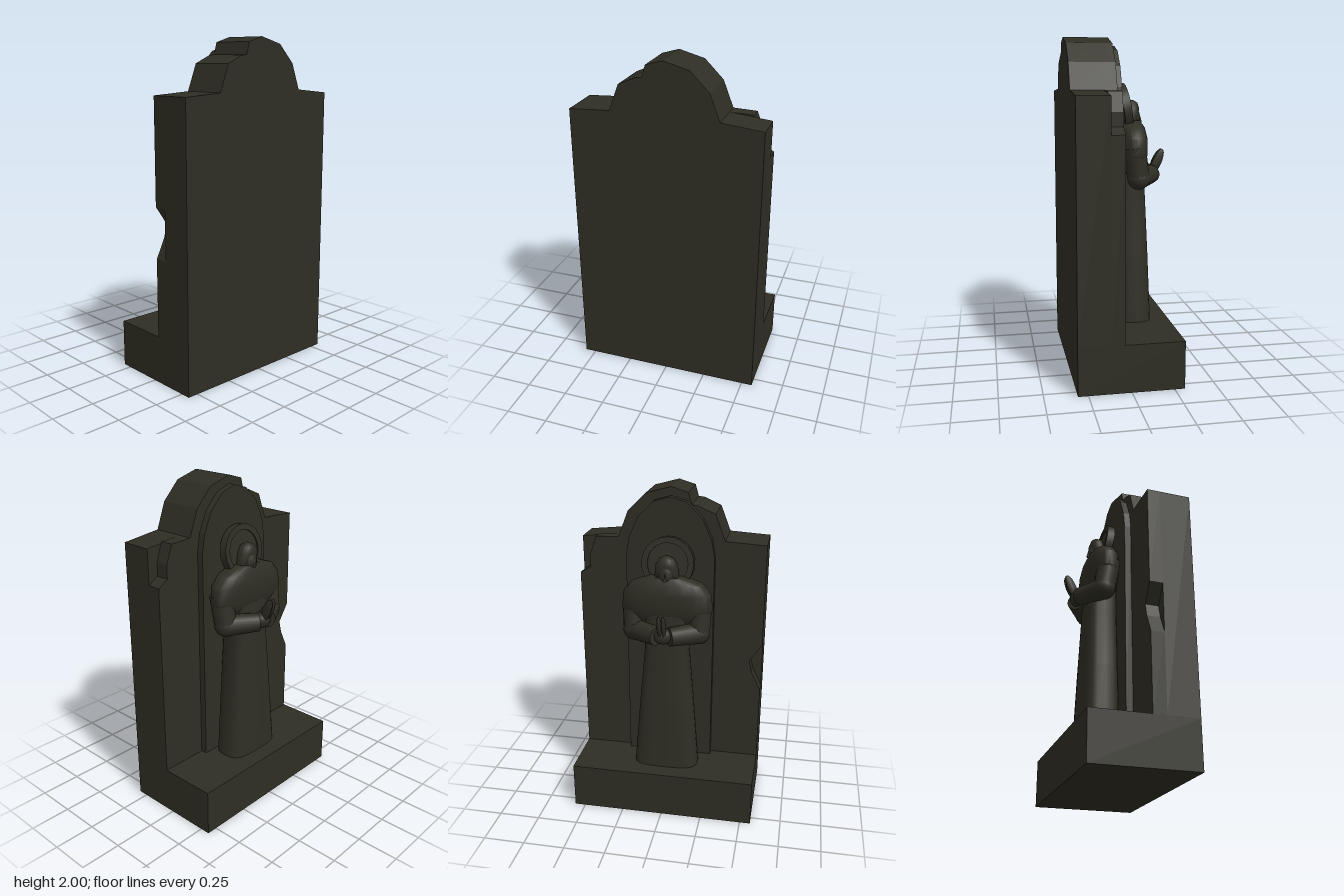
import * as THREE from 'three';
import { toCreasedNormals } from 'three/addons/utils/BufferGeometryUtils.js';

const stone = new THREE.MeshStandardMaterial({ color: 0x2f2e24 });
stone.name = 'dark stone';

function part(name, geometry, parent) {
  const mesh = new THREE.Mesh(geometry, stone);
  mesh.name = name;
  parent.add(mesh);
  return mesh;
}

// Upright plate: outline in x, y, running from z0 to z1
function plate(points, z0, z1) {
  const shape = new THREE.Shape(points.map(([x, y]) => new THREE.Vector2(x, y)));
  return new THREE.ExtrudeGeometry(shape, { depth: z1 - z0, bevelEnabled: false }).translate(0, 0, z0);
}

// Rounded-box rings [y, half width, back z, front z] joined from bottom to top
function loft(rings, power = 0.6, sides = 24) {
  const pos = [], index = [];
  const soft = v => Math.sign(v) * Math.abs(v) ** power;
  for (const [y, w, back, front] of rings) {
    for (let i = 0; i < sides; i++) {
      const t = (i / sides) * Math.PI * 2;
      pos.push(w * soft(Math.cos(t)), y, (back + front) / 2 + ((back - front) / 2) * soft(Math.sin(t)));
    }
  }
  const last = (rings.length - 1) * sides;
  for (let r = 0; r < last; r += sides) {
    for (let i = 0; i < sides; i++) {
      const a = r + i, b = r + (i + 1) % sides;
      index.push(a, a + sides, b, b, a + sides, b + sides);
    }
  }
  for (let i = 1; i < sides - 1; i++) {
    index.push(0, i, i + 1, last, last + i + 1, last + i);
  }
  const g = new THREE.BufferGeometry();
  g.setAttribute('position', new THREE.Float32BufferAttribute(pos, 3));
  g.setIndex(index);
  return toCreasedNormals(g, 0.7);
}

// Tapered limb between two points
function limb(a, b, r0, r1) {
  const from = new THREE.Vector3(...a), to = new THREE.Vector3(...b);
  const dir = to.clone().sub(from);
  const g = new THREE.CylinderGeometry(r1, r0, dir.length(), 14);
  g.applyQuaternion(new THREE.Quaternion().setFromUnitVectors(new THREE.Vector3(0, 1, 0), dir.normalize()));
  const mid = from.add(to).multiplyScalar(0.5);
  return g.translate(mid.x, mid.y, mid.z);
}

function ball(x, y, z, sx, sy, sz) {
  return new THREE.SphereGeometry(1, 16, 12).scale(sx, sy, sz).translate(x, y, z);
}

export function createModel() {
  const model = new THREE.Group();
  model.name = 'memorial';

  // Plinth and weathered slab; the face towards the statue has broken edges
  part('plinth', new THREE.BoxGeometry(1.13, 0.285, 0.62).translate(0, 0.1425, 0), model);
  const crown = [[0.32, 1.695], [0.26, 1.85], [0.15, 1.96], [0, 2], [-0.1, 1.97], [-0.12, 1.9],
    [-0.16, 1.895], [-0.26, 1.85], [-0.32, 1.695], [-0.565, 1.68]];
  part('slab', plate([[-0.565, 0.28], [0.565, 0.28], [0.565, 1.67], ...crown], 0.12, 0.31), model);
  part('brokenFace', plate([[-0.565, 0.28], [0.565, 0.28], [0.565, 1.46], [0.5, 1.5], [0.5, 1.58],
    [0.46, 1.69], ...crown, [-0.565, 1.06], [-0.49, 0.95], [-0.51, 0.87], [-0.565, 0.755]], 0.04, 0.12), model);

  // Arched backing panel
  part('archPanel', plate([[-0.265, 0.28], [0.265, 0.28], [0.265, 1.6], [0.245, 1.71], [0.19, 1.83], [0.1, 1.92],
    [0, 1.95], [-0.1, 1.92], [-0.19, 1.83], [-0.245, 1.71], [-0.265, 1.6]], 0, 0.04), model);

  // Robed figure, facing -z
  const figure = new THREE.Group();
  figure.name = 'statue';
  model.add(figure);
  part('robe', loft([[0.28, 0.2, 0.01, -0.21], [0.7, 0.165, 0.01, -0.195], [1.08, 0.13, 0.01, -0.18],
    [1.3, 0.14, 0.01, -0.17]]), figure);
  part('cape', loft([[1.2, 0.15, 0, -0.14], [1.26, 0.245, 0, -0.16], [1.31, 0.272, 0, -0.18],
    [1.41, 0.262, 0, -0.18], [1.47, 0.21, -0.01, -0.17], [1.51, 0.1, -0.03, -0.15]], 0.75), figure);

  // Tilted halo with a raised rim
  const halo = new THREE.Group();
  halo.name = 'halo';
  halo.position.set(0, 1.575, -0.055);
  halo.rotation.x = 0.16;
  figure.add(halo);
  part('haloDisc', new THREE.CylinderGeometry(0.145, 0.145, 0.03, 28).rotateX(Math.PI / 2), halo);
  const rim = [[0.12, -0.024], [0.155, -0.024], [0.155, 0.024], [0.12, 0.024], [0.12, -0.024]];
  part('haloRim', toCreasedNormals(new THREE.LatheGeometry(rim.map(p => new THREE.Vector2(...p)), 28)
    .rotateX(Math.PI / 2), 0.7), halo);

  // Hooded head with nose and beard
  part('neck', limb([0, 1.42, -0.09], [0, 1.52, -0.1], 0.06, 0.05), figure);
  part('hood', loft([[1.43, 0.075, -0.04, -0.125], [1.52, 0.072, -0.05, -0.14], [1.58, 0.065, -0.055, -0.152],
    [1.615, 0.045, -0.065, -0.14], [1.63, 0.015, -0.085, -0.115]], 0.9), figure);
  part('face', ball(0, 1.515, -0.11, 0.05, 0.085, 0.05), figure);
  part('nose', new THREE.ConeGeometry(0.014, 0.05, 4).translate(0, 1.52, -0.157), figure);
  part('beard', new THREE.ConeGeometry(0.045, 0.11, 10).rotateX(Math.PI).scale(1, 1, 0.7)
    .translate(0, 1.43, -0.13), figure);

  // Arms folded towards the praying hands
  for (const s of [-1, 1]) {
    part('upperSleeve', limb([s * 0.2, 1.36, -0.08], [s * 0.195, 1.18, -0.11], 0.07, 0.066), figure);
    part('elbow', ball(s * 0.195, 1.175, -0.11, 0.068, 0.068, 0.068), figure);
    part('forearmSleeve', limb([s * 0.195, 1.175, -0.11], [s * 0.035, 1.18, -0.225], 0.066, 0.055), figure);
    const hand = part('hand', new THREE.SphereGeometry(1, 10, 10).scale(0.014, 0.085, 0.03), figure);
    hand.position.set(s * 0.013, 1.252, -0.265);
    hand.rotation.x = -0.42;
  }
  part('wrists', ball(0, 1.185, -0.225, 0.055, 0.05, 0.045), figure);

  return model;
}
